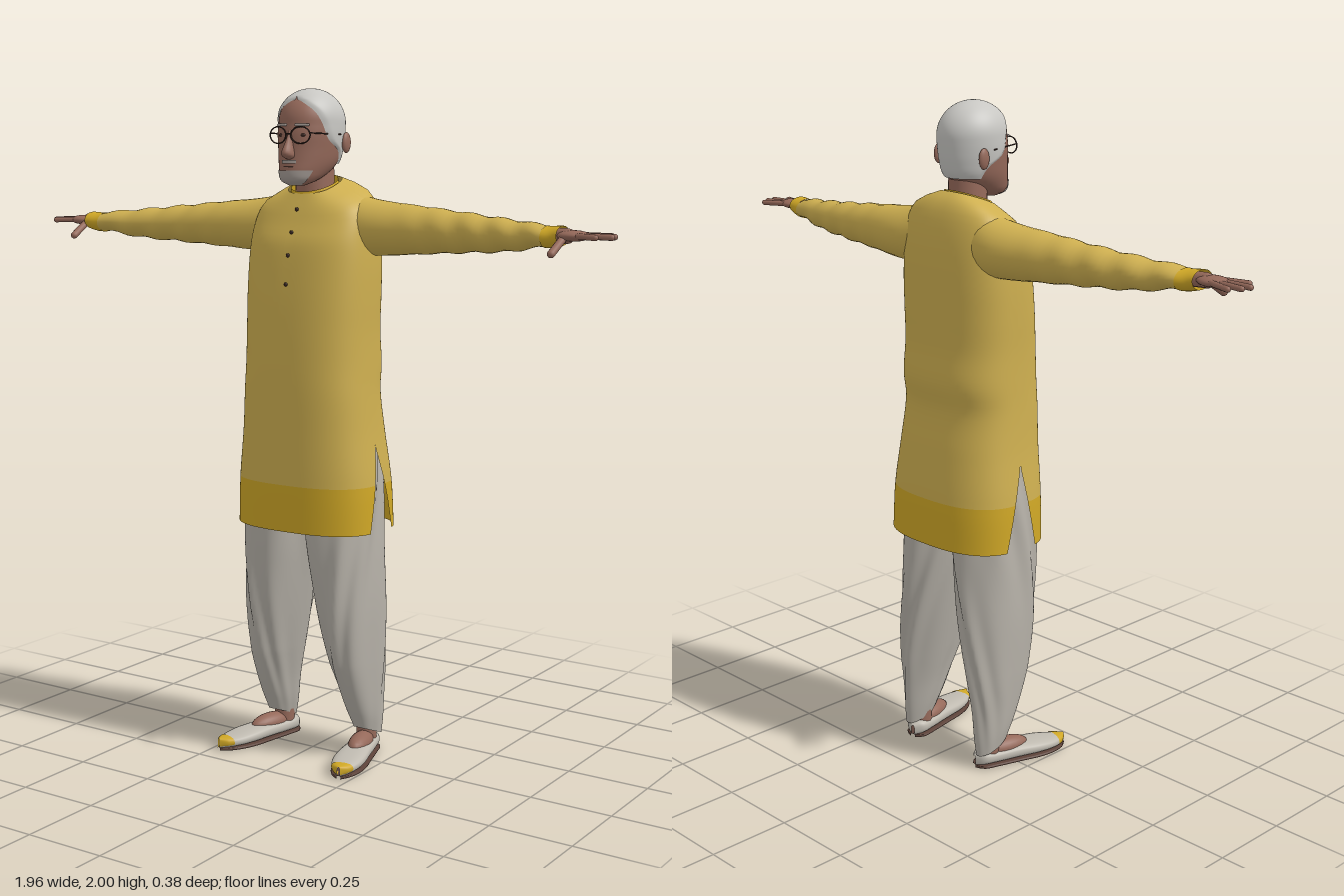
import * as THREE from 'three';

const mat = (name, color, open) => {
  const m = new THREE.MeshStandardMaterial({ color, side: open ? THREE.DoubleSide : THREE.FrontSide });
  m.name = name;
  return m;
};
const V = (x, y, z) => new THREE.Vector3(x, y, z);
const spow = (c, p) => Math.sign(c) * Math.abs(c) ** p;
const clamp = THREE.MathUtils.clamp;

// Smooth lookup in a small table of rows [key, value, value, ...]
function at(table, t) {
  const n = table.length - 1;
  let i = 0;
  while (i < n - 1 && t > table[i + 1][0]) i++;
  const slope = (k, c) => {
    const a = table[Math.max(k - 1, 0)], b = table[Math.min(k + 1, n)];
    return (b[c] - a[c]) / (b[0] - a[0]);
  };
  const h = table[i + 1][0] - table[i][0], s = clamp((t - table[i][0]) / h, 0, 1);
  return table[i].slice(1).map((p, k) => {
    const q = table[i + 1][k + 1], s2 = s * s, s3 = s2 * s;
    return p * (2 * s3 - 3 * s2 + 1) + q * (3 * s2 - 2 * s3)
      + h * (slope(i, k + 1) * (s3 - 2 * s2 + s) + slope(i + 1, k + 1) * (s3 - s2));
  });
}

// Surface over u (around) and v (along); wrap joins the last column to the first
function grid(rows, cols, fn, wrap = true) {
  const pos = [], idx = [], w = wrap ? cols : cols + 1;
  for (let i = 0; i <= rows; i++)
    for (let j = 0; j < w; j++) pos.push(...fn(j / cols, i / rows).toArray());
  for (let i = 0; i < rows; i++)
    for (let j = 0; j < cols; j++) {
      const a = i * w + j, b = i * w + (j + 1) % w, c = a + w, d = b + w;
      idx.push(a, c, b, b, c, d);
    }
  const g = new THREE.BufferGeometry();
  g.setAttribute('position', new THREE.Float32BufferAttribute(pos, 3));
  g.setIndex(idx);
  g.computeVertexNormals();
  return g;
}

function mirrored(geo) {
  const g = geo.clone().scale(-1, 1, 1), ix = g.index.array;
  for (let i = 0; i < ix.length; i += 3) [ix[i], ix[i + 1]] = [ix[i + 1], ix[i]];
  return g;
}

// Rounded rod between two points
function rod(a, b, r) {
  const d = b.clone().sub(a), g = new THREE.CapsuleGeometry(r, d.length(), 4, 10);
  g.applyQuaternion(new THREE.Quaternion().setFromUnitVectors(V(0, 1, 0), d.normalize()));
  return g.translate((a.x + b.x) / 2, (a.y + b.y) / 2, (a.z + b.z) / 2);
}
const ball = (x, y, z, rx, ry, rz) => new THREE.SphereGeometry(1, 20, 14).scale(rx, ry, rz).translate(x, y, z);

// Tunic: height, half width, front z, back z
const TUNIC = [[0.71, 0.237, 0.155, -0.19], [0.85, 0.23, 0.157, -0.185], [1, 0.212, 0.157, -0.168],
  [1.12, 0.203, 0.157, -0.152], [1.2, 0.2, 0.155, -0.164], [1.3, 0.198, 0.15, -0.155], [1.4, 0.2, 0.142, -0.155],
  [1.5, 0.2, 0.13, -0.155], [1.58, 0.195, 0.118, -0.15], [1.64, 0.185, 0.095, -0.137], [1.68, 0.16, 0.08, -0.12],
  [1.705, 0.11, 0.068, -0.1], [1.72, 0.073, 0.06, -0.084]];
function tunicPoint(a, y, off = 0) {
  const [rx, zf, zb] = at(TUNIC, y), rz = (zf - zb) / 2 + off;
  const z = (zf + zb) / 2 + rz * spow(Math.sin(a), 0.75);
  const tilt = 0.35 * clamp((y - 1.5) / 0.2, 0, 1);
  return V((rx + off) * spow(Math.cos(a), 0.75), y - tilt * z, z);
}
// Half of the tunic between two heights, leaving the side slits open
function tunicPanel(y0, y1, back) {
  return grid(Math.ceil((y1 - y0) * 50), 44, (u, v) => {
    const y = y0 + (y1 - y0) * v, [, zf, zb] = at(TUNIC, y);
    const half = 0.058 * Math.max(0, (0.96 - y) / 0.25);
    const d = Math.asin((half / ((zf - zb) / 2)) ** (1 / 0.75));
    return tunicPoint(d + (Math.PI - 2 * d) * u + (back ? Math.PI : 0), y);
  }, false);
}

// Sleeve: x, top, bottom, front z, back z
const SLEEVE = [[0.09, 1.705, 1.52, 0.03, -0.12], [0.2, 1.682, 1.52, 0.04, -0.135], [0.35, 1.667, 1.53, 0.035, -0.108],
  [0.5, 1.652, 1.54, 0.035, -0.085], [0.65, 1.638, 1.55, 0.05, -0.055], [0.76, 1.628, 1.567, 0.066, -0.025],
  [0.825, 1.622, 1.574, 0.073, -0.01]];
const sleeve = (x0, x1, off) => grid(40, 28, (u, v) => {
  const x = x0 + (x1 - x0) * v, a = u * Math.PI * 2, [t, b, f, k] = at(SLEEVE, x);
  const fold = off + 0.003 * Math.sin(x * 60 + 2 * Math.sin(a)) * clamp((x - 0.25) * 4, 0, 1);
  return V(x, (t + b) / 2 + ((t - b) / 2 + fold) * Math.sin(a), (f + k) / 2 + ((f - k) / 2 + fold) * Math.cos(a));
});

// Trouser leg: height, inner x, outer x, front z, back z
const LEG = [[0.07, 0.125, 0.192, -0.01, -0.122], [0.12, 0.112, 0.2, 0.02, -0.126], [0.2, 0.098, 0.206, 0.052, -0.13],
  [0.3, 0.078, 0.212, 0.08, -0.14], [0.45, 0.048, 0.216, 0.11, -0.148], [0.6, 0.022, 0.214, 0.125, -0.15],
  [0.7, 0.008, 0.212, 0.13, -0.15], [0.85, -0.01, 0.208, 0.13, -0.145], [0.99, -0.01, 0.195, 0.12, -0.13]];
const legGeo = grid(70, 72, (u, v) => {
  const y = 0.07 + 0.92 * v, a = u * Math.PI * 2, [xi, xo, f, b] = at(LEG, y);
  const wave = Math.sin(7 * a + 9 * y + 1.5 * Math.sin(a * 2 + y * 8));
  const fold = 1 + 0.045 * wave * clamp(y * 4, 0.3, 1);
  const z = (f + b) / 2 + (f - b) / 2 * fold * Math.sin(a);
  return V((xi + xo) / 2 + (xo - xi) / 2 * fold * spow(Math.cos(a), 0.9),
    y + (z + 0.06) * 0.4 * clamp((0.3 - y) * 5, 0, 1), z);
});

// Head: height, half width, front z, back z; the crown closes as a dome
const HEAD = [[1.722, 0.02, 0.1, 0.06], [1.735, 0.048, 0.122, 0.02], [1.76, 0.066, 0.128, -0.04],
  [1.79, 0.079, 0.124, -0.076], [1.83, 0.086, 0.12, -0.089], [1.87, 0.09, 0.119, -0.094], [1.9, 0.09, 0.114, -0.096]];
function headPoint(a, y, off = 0) {
  const [rx, zf, zb] = at(HEAD, y), q = clamp((y - 1.9) / 0.094, 0, 1), k = Math.sqrt(1 - q * q);
  return V((rx + off) * k * Math.cos(a), y + off * clamp((y - 1.85) / 0.14, 0, 1),
    (zf + zb) / 2 + ((zf - zb) / 2 + off) * k * Math.sin(a));
}
const facePatch = (y0, y1, spread, off) => grid(8, 24, (u, v) =>
  headPoint(Math.PI / 2 + (2 * u - 1) * spread, y0 + (y1 - y0) * v, off), false);
// Angle from the face centre to the hairline at each height
const HAIRLINE = [[1.785, 2.1], [1.82, 1.8], [1.85, 1.3], [1.9, 1.0], [1.935, 0.75], [1.96, 0.3], [1.968, 0], [1.994, 0]];

// Shoe: distance forward of the ankle, half width, top
const SHOE = [[-0.062, 0.006, 0.04], [-0.045, 0.03, 0.052], [0, 0.037, 0.05], [0.08, 0.043, 0.052],
  [0.15, 0.048, 0.048], [0.2, 0.042, 0.042], [0.24, 0.025, 0.038], [0.26, 0.004, 0.037]];
const shoe = (z0, z1, lo, flat, off) => grid(32, 28, (u, v) => {
  const z = z0 + (z1 - z0) * v, a = -u * Math.PI * 2, [w, top] = at(SHOE, z), hi = flat || top;
  return V((w + off) * spow(Math.cos(a), 0.8), (lo + hi) / 2 + ((hi - lo) / 2 + (flat ? 0 : off)) * spow(Math.sin(a), flat ? 0.4 : 0.8), z);
});

export function createModel() {
  const model = new THREE.Group();
  model.name = 'standingMan';
  const cloth = mat('tunic yellow', 0xceaf50, true), trim = mat('trim gold', 0xcfa726, true);
  const linen = mat('trouser linen', 0xb6b1a8, true), skin = mat('skin', 0x95695a);
  const hairMat = mat('silver hair', 0xc8c7c3, true), beardMat = mat('grey beard', 0xa39a94, true);
  const dark = mat('dark brown', 0x3a2822), leather = mat('shoe cream', 0xbfbab0), soleMat = mat('sole brown', 0x5c4239);

  const add = (name, geo, material) => {
    const m = new THREE.Mesh(geo, material);
    m.name = name;
    model.add(m);
  };
  const pair = (name, geo, material) => {
    add(name + 'Left', geo, material);
    add(name + 'Right', mirrored(geo), material);
  };

  // Tunic with hem band, collar, placket and buttons
  for (const back of [false, true]) {
    const side = back ? 'Back' : 'Front';
    add('tunic' + side, tunicPanel(0.85, 1.72, back), cloth);
    add('hemBand' + side, tunicPanel(0.71, 0.85, back), trim);
  }
  add('collar', grid(8, 36, (u, v) => {
    const a = u * Math.PI * 2, z = -0.01 + (0.076 - 0.006 * v) * Math.sin(a);
    return V((0.076 - 0.008 * v) * Math.cos(a), 1.685 + 0.04 * v - 0.35 * z, z);
  }), trim);
  add('placket', grid(16, 6, (u, v) => tunicPoint(Math.PI / 2 + (u - 0.5) * 0.07, 1.38 + 0.31 * v, 0.003), false), cloth);
  for (const y of [1.44, 1.53, 1.61, 1.68]) {
    const p = tunicPoint(Math.PI / 2, y, 0.004);
    add('button', ball(p.x, p.y, p.z, 0.006, 0.006, 0.004), dark);
  }

  // Sleeves and hands
  pair('sleeve', sleeve(0.09, 0.78, 0), cloth);
  pair('cuff', sleeve(0.775, 0.825, 0.002), trim);
  pair('wrist', rod(V(0.78, 1.598, 0.03), V(0.84, 1.6, 0.034), 0.021), skin);
  pair('palm', ball(0.858, 1.601, 0.034, 0.048, 0.015, 0.038), skin);
  const fingers = [[0.005, 0.945, -0.018], [0.023, 0.966, 0.012], [0.043, 0.971, 0.042], [0.058, 0.94, 0.078]];
  fingers.forEach(([z, x, tip], i) =>
    pair('finger' + (i + 1), rod(V(0.875, 1.602, z), V(x, 1.6, tip), 0.0085), skin));
  pair('thumb', rod(V(0.835, 1.592, 0.055), V(0.832, 1.556, 0.115), 0.011), skin);

  // Draped trousers, ankles and shoes turned outward
  pair('trouserLeg', legGeo, linen);
  const turn = g => g.rotateY(0.25).translate(0.155, 0, -0.06);
  pair('ankle', turn(new THREE.CylinderGeometry(0.034, 0.031, 0.15, 16).translate(0, 0.115, -0.008)), skin);
  pair('instep', turn(ball(0, 0.045, 0.05, 0.033, 0.03, 0.075)), skin);
  pair('shoe', turn(shoe(-0.062, 0.26, 0.008, 0, 0)), leather);
  pair('toeTip', turn(shoe(0.225, 0.26, 0.012, 0, 0.0015)), trim);
  pair('sole', turn(shoe(-0.062, 0.26, 0, 0.011, 0.002)), soleMat);

  // Head and neck
  add('neck', new THREE.CylinderGeometry(0.054, 0.06, 0.16, 24).translate(0, 1.735, -0.012), skin);
  add('head', grid(40, 44, (u, v) => headPoint(u * Math.PI * 2, 1.722 + 0.272 * Math.sin(v * Math.PI / 2))), skin);
  add('hair', grid(36, 60, (u, v) => {
    const y = 1.785 + 0.209 * Math.sin(v * Math.PI / 2);
    const h = Math.max(0, at(HAIRLINE, y)[0]), full = h < 0.02 ? 1 : 0;
    const off = 0.001 + 0.005 * Math.min(1, Math.sin(Math.PI * u) * 8 + full);
    return headPoint(Math.PI / 2 + h + (Math.PI * 2 - 2 * h) * u, y, off);
  }, false), hairMat);
  add('beard', facePatch(1.723, 1.766, 1.0, 0.003), beardMat);
  add('moustache', facePatch(1.786, 1.796, 0.3, 0.004), beardMat);
  add('mouth', facePatch(1.775, 1.778, 0.22, 0.002), dark);
  const NOSE = [[1.796, 0.002, 0.125], [1.803, 0.016, 0.142], [1.815, 0.017, 0.153], [1.845, 0.01, 0.138], [1.88, 0.006, 0.119]];
  add('nose', grid(16, 20, (u, v) => {
    const y = 1.796 + 0.084 * v, a = u * Math.PI * 2, [w, f] = at(NOSE, y);
    return V(w * Math.cos(a), y, (f + 0.1) / 2 + (f - 0.1) / 2 * Math.sin(a));
  }), skin);
  pair('ear', ball(0.092, 1.845, 0, 0.01, 0.03, 0.019).rotateX(-0.02), skin);
  pair('eye', ball(0.035, 1.866, 0.107, 0.011, 0.005, 0.005), dark);
  pair('eyebrow', rod(V(0.018, 1.895, 0.114), V(0.052, 1.895, 0.101), 0.004), beardMat);

  // Spectacles
  pair('lensRim', new THREE.TorusGeometry(0.028, 0.0022, 6, 28).scale(1.1, 0.85, 1).rotateY(0.15).translate(0.039, 1.866, 0.122), dark);
  pair('templeArm', rod(V(0.07, 1.872, 0.115), V(0.097, 1.868, 0), 0.002), dark);
  add('bridge', rod(V(-0.009, 1.87, 0.127), V(0.009, 1.87, 0.127), 0.002), dark);
  return model;
}
